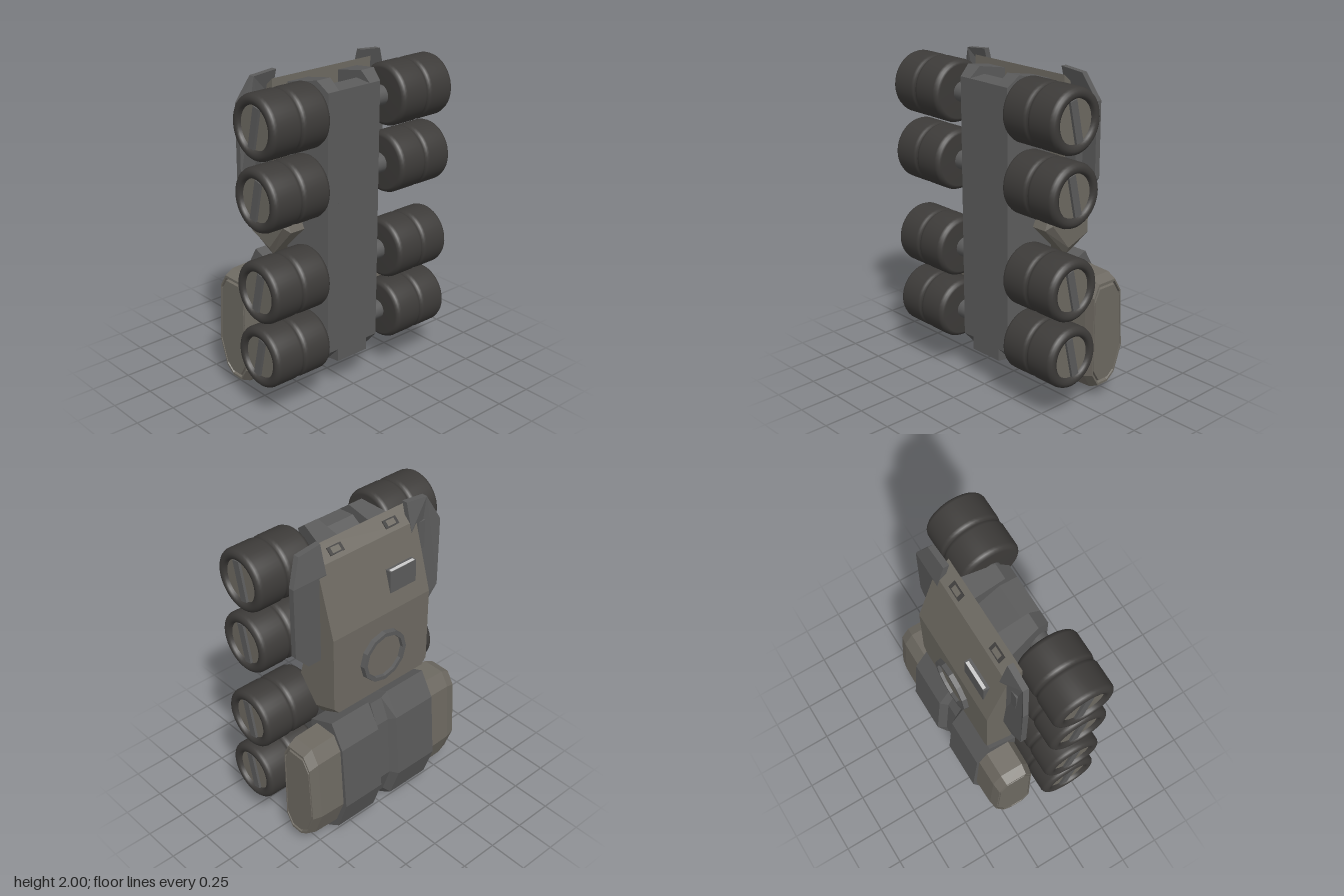
import * as THREE from 'three';

const mat = (color) => new THREE.MeshStandardMaterial({ color, roughness: 0.9 });
const TAN = mat(0x6e6a62), GREY = mat(0x5b5b5b), DARK = mat(0x403f3e), TYRE = mat(0x3d3b39), LIGHT = mat(0xcccccc);

// Joins [z, y] outlines placed at rising x into a closed, flat-shaded solid.
// Outlines run clockwise as seen from +x.
function loft(sections) {
  const pos = [];
  const rings = sections.map(([x, outline]) =>
    outline.map(([z, y]) => [x, y, z]).reverse());
  const tri = (a, b, c) => pos.push(...a, ...b, ...c);
  const n = rings[0].length;
  for (let k = 0; k < rings.length - 1; k++) {
    for (let i = 0; i < n; i++) {
      const j = (i + 1) % n, a = rings[k], b = rings[k + 1];
      tri(a[i], a[j], b[j]);
      tri(a[i], b[j], b[i]);
    }
  }
  for (const [ring, flip] of [[rings[0], true], [rings[rings.length - 1], false]]) {
    const c = [0, 1, 2].map((d) => ring.reduce((s, p) => s + p[d], 0) / n);
    for (let i = 0; i < n; i++) {
      const p = ring[i], q = ring[(i + 1) % n];
      flip ? tri(c, q, p) : tri(c, p, q);
    }
  }
  const g = new THREE.BufferGeometry();
  g.setAttribute('position', new THREE.Float32BufferAttribute(pos, 3));
  g.computeVertexNormals();
  return g;
}

// Scales an outline about a [z, y] point
const scaled = (outline, s, cz, cy) =>
  outline.map(([z, y]) => [cz + (z - cz) * s, cy + (y - cy) * s]);

export function createModel() {
  const model = new THREE.Group();
  const add = (name, geo, material, x = 0, y = 0, z = 0, parent = model) => {
    const m = new THREE.Mesh(geo, material);
    m.name = name;
    m.position.set(x, y, z);
    parent.add(m);
    return m;
  };
  const box = (w, h, d) => new THREE.BoxGeometry(w, h, d);

  // Chassis: centre beam with two side rails that widen towards the back
  const beam = [[0.235, 1.9], [0.125, 1.91], [-0.05, 1.8], [-0.05, 0.08], [0.16, 0.19], [0.235, 0.2]];
  add('chassisBeam', loft([[-0.115, beam], [0.115, beam]]), GREY);
  const rail = [[0.235, 1.9], [0.16, 1.96], [-0.05, 1.92], [-0.05, 0.08], [0.12, 0.16], [0.235, 0.28]];
  for (const s of [-1, 1]) {
    const g = loft(s > 0 ? [[0.115, rail], [0.195, rail]] : [[-0.195, rail], [-0.115, rail]]);
    const p = g.attributes.position;
    for (let i = 0; i < p.count; i++) {
      if (Math.abs(p.getX(i)) > 0.15) p.setX(i, s * (0.195 + 0.07 * (0.235 - p.getZ(i)) / 0.285));
    }
    g.computeVertexNormals();
    add('chassisRail', g, GREY);
  }

  // Wheels: paired tyres, recessed hub with a slanted bar
  const tyreProfile = [
    [0, 0], [0.16, 0], [0.172, 0.006], [0.182, 0.016], [0.188, 0.032], [0.188, 0.175],
    [0.184, 0.192], [0.174, 0.203], [0.184, 0.214], [0.188, 0.231], [0.188, 0.373],
    [0.182, 0.389], [0.172, 0.399], [0.16, 0.405], [0.145, 0.404], [0.13, 0.397], [0.125, 0.37],
  ].map(([r, h]) => new THREE.Vector2(r, h));
  const tyreGeo = new THREE.LatheGeometry(tyreProfile, 40);
  const hubGeo = new THREE.CylinderGeometry(0.126, 0.126, 0.02, 40);
  const axleGeo = new THREE.CylinderGeometry(0.06, 0.06, 0.6, 20);
  for (const y of [1.787, 1.372, 0.815, 0.402]) {
    add('axle', axleGeo, GREY, 0, y, 0.165).rotation.z = Math.PI / 2;
    for (const s of [-1, 1]) {
      const wheel = new THREE.Group();
      wheel.name = 'wheel';
      wheel.position.set(s * 0.27, y, 0.17);
      add('tyre', tyreGeo, TYRE, 0, 0, 0, wheel).rotation.z = -s * Math.PI / 2;
      add('hub', hubGeo, TAN, s * 0.37, 0, 0, wheel).rotation.z = Math.PI / 2;
      add('hubBar', box(0.02, 0.244, 0.05), GREY, s * 0.386, 0, 0, wheel).rotation.x = 0.22;
      model.add(wheel);
    }
  }

  // Cab with a chamfered lower end
  const cabFull = [[-0.035, 1.96], [-0.125, 1.88], [-0.25, 1.465], [-0.25, 0.94], [-0.1, 0.865], [0.07, 1.055], [-0.035, 1.35]];
  const cabSide = [[-0.035, 1.96], [-0.125, 1.88], [-0.25, 1.465], [-0.25, 0.98], [-0.09, 0.92], [0.04, 1.085], [-0.035, 1.35]];
  add('cab', loft([[-0.37, cabSide], [-0.335, cabFull], [0.335, cabFull], [0.37, cabSide]]), TAN);

  // Small lamps on the top edge of the cab
  for (const s of [-1, 1]) {
    const lamp = add('lampFrame', box(0.1, 0.012, 0.05), DARK, s * 0.205, 1.915, -0.085);
    lamp.rotation.x = -0.727;
    add('lamp', box(0.06, 0.012, 0.034), TAN, 0, 0.002, 0, lamp);
  }

  // Sight box with a bright slit
  const sight = [[-0.14, 1.7], [-0.218, 1.7], [-0.222, 1.56], [-0.14, 1.56]];
  add('sightBox', loft([[-0.285, sight], [-0.085, sight]]), GREY);
  add('sightSlit', box(0.18, 0.006, 0.02), LIGHT, -0.185, 1.7, -0.207);

  // Round hatch: twelve-sided ring and lid
  const ringProfile = [[0.135, -0.01], [0.17, -0.01], [0.165, 0.03], [0.14, 0.03], [0.135, -0.01]]
    .map(([r, h]) => new THREE.Vector2(r, h));
  const hatchMat = mat(0x5b5b5b);
  hatchMat.flatShading = true;
  add('hatchRing', new THREE.LatheGeometry(ringProfile, 12), hatchMat, 0, 1.19, -0.25).rotation.x = -Math.PI / 2;
  add('hatchLid', new THREE.CylinderGeometry(0.14, 0.14, 0.02, 12), TAN, 0, 1.19, -0.25).rotation.x = -Math.PI / 2;

  // Side guards: thin plates whose upper end leans forward
  for (const s of [-1, 1]) {
    const pts = [[0.32, 2], [0.475, 1.985], [0.55, 1.83], [0.55, 1.38], [0.46, 1.28], [0.32, 1.28], [0.32, 1.83]];
    const shape = new THREE.Shape(pts.map(([x, y]) => new THREE.Vector2(s * x, y)));
    const g = new THREE.ExtrudeGeometry(shape, { depth: 0.036, bevelEnabled: false });
    const p = g.attributes.position;
    for (let i = 0; i < p.count; i++) {
      p.setZ(i, p.getZ(i) - 0.142 + Math.max(0, p.getY(i) - 1.83) * 0.27);
    }
    g.computeVertexNormals();
    add('sideGuard', g, GREY);
    // Inner bracket joining guard to cab
    add('guardBracket', box(0.1, 0.5, 0.07), GREY, s * 0.4, 1.6, -0.085);
  }

  // Rear tank with a shallow channel round its middle
  const tank = [[-0.05, 0.79], [-0.23, 0.865], [-0.32, 0.71], [-0.355, 0.28], [-0.285, 0.07], [-0.19, 0.005], [-0.05, 0.07]];
  const channel = [[-0.05, 0.76], [-0.215, 0.825], [-0.275, 0.69], [-0.305, 0.28], [-0.245, 0.095], [-0.18, 0.05], [-0.05, 0.1]];
  add('tank', loft([
    [-0.365, tank], [-0.065, tank], [-0.035, channel], [0.055, channel], [0.085, tank], [0.375, tank],
  ]), GREY);

  // Tank end caps with a groove in the outer face
  const cap = [[-0.055, 0.7], [-0.1, 0.79], [-0.25, 0.79], [-0.305, 0.7], [-0.33, 0.29],
    [-0.265, 0.11], [-0.2, 0.06], [-0.11, 0.06], [-0.055, 0.15]];
  const steps = [[0.34, 1], [0.535, 0.975], [0.595, 0.9], [0.595, 0.86], [0.58, 0.845], [0.58, 0.825], [0.595, 0.81]];
  for (const s of [-1, 1]) {
    const secs = steps.map(([x, k]) => [0.01 + s * x, scaled(cap, k, -0.185, 0.42)]);
    add('tankCap', loft(s > 0 ? secs : secs.reverse()), TAN);
  }

  return model;
}
